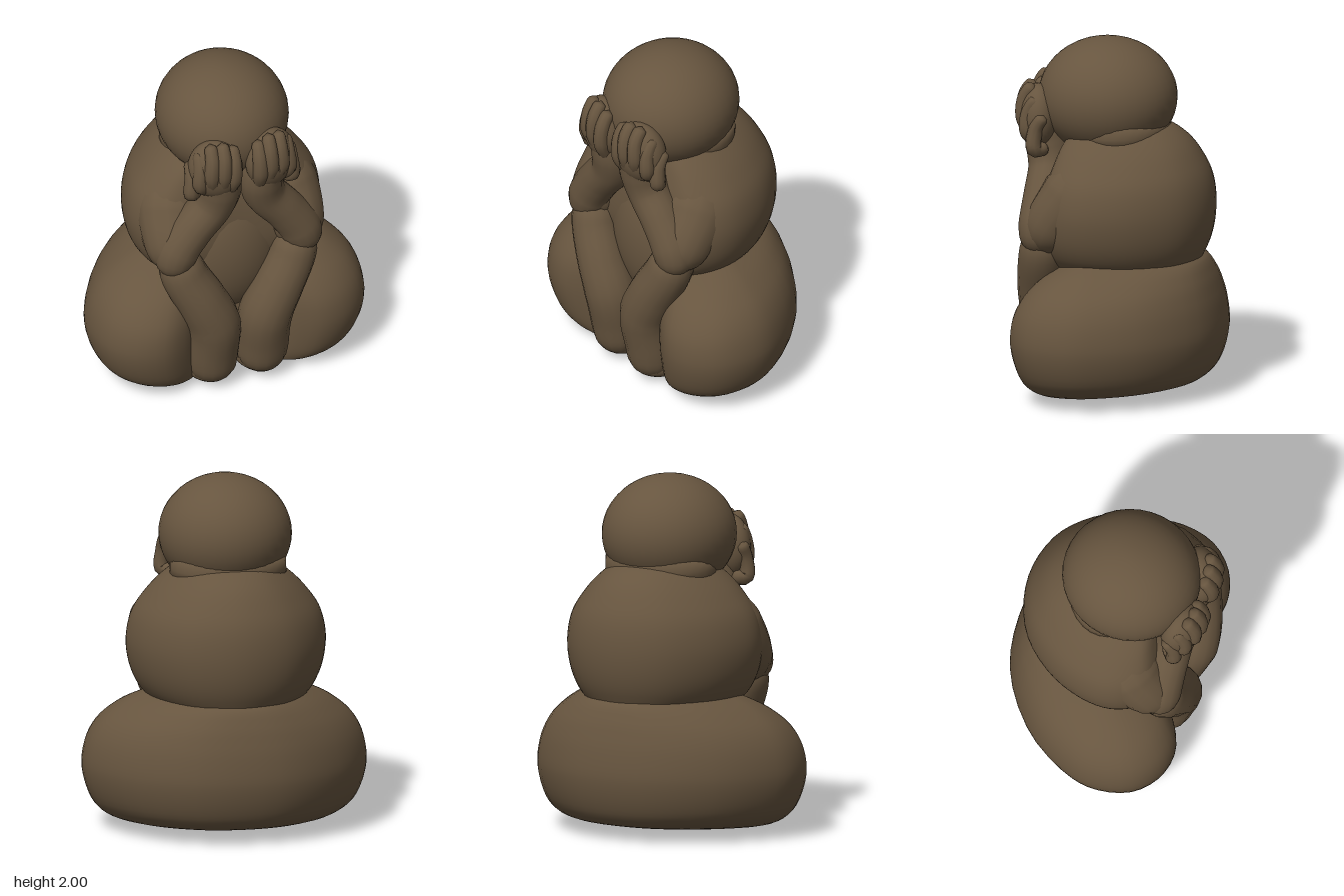
import * as THREE from 'three';
import { mergeVertices } from 'three/addons/utils/BufferGeometryUtils.js';

const clay = new THREE.MeshStandardMaterial({ color: 0x67553f });
clay.name = 'brown clay';

// Weld seams and give smooth normals
function smooth(geo) {
  geo.deleteAttribute('uv');
  geo.deleteAttribute('normal');
  const g = mergeVertices(geo, 1e-4);
  g.computeVertexNormals();
  return g;
}

function part(name, geo, parent) {
  const m = new THREE.Mesh(smooth(geo), clay);
  m.name = name;
  parent.add(m);
}

// Mirrored plan outline stacked along y; levels are [y, width, back, front] scales.
// tilt lowers the front of the underside and raises its back.
function loft(half, levels, tilt = 0, rings = 40, seg = 64) {
  const plan = half.concat(half.slice(1, -1).reverse().map(([x, z]) => [-x, z]));
  const outline = new THREE.CatmullRomCurve3(
    plan.map(([x, z]) => new THREE.Vector3(x, 0, z)), true).getPoints(seg);
  const size = new THREE.CatmullRomCurve3(
    levels.map(([y, w, , f]) => new THREE.Vector3(w, y, f)));
  const back = new THREE.CatmullRomCurve3(
    levels.map(([y, , b]) => new THREE.Vector3(b, y, 0)));
  const pos = [], idx = [];
  for (let i = 0; i <= rings; i++) {
    const s = size.getPoint(i / rings), b = back.getPoint(i / rings).x;
    const lean = tilt * Math.max(0, 1 - s.y / 0.4);
    for (const p of outline) {
      const z = p.z * (p.z < 0 ? b : s.z);
      pos.push(p.x * s.x, s.y - lean * z, z);
    }
  }
  const n = seg + 1;
  for (let i = 0; i < rings; i++) for (let j = 0; j < seg; j++) {
    const a = i * n + j, b = a + n;
    idx.push(a, b, a + 1, b, b + 1, a + 1);
  }
  const g = new THREE.BufferGeometry();
  g.setAttribute('position', new THREE.Float32BufferAttribute(pos, 3));
  g.setIndex(idx);
  return g;
}

// Round-ended tube through [x, y, z, radius] points
function limb(pts, rings = 32, sides = 16) {
  const curve = new THREE.CatmullRomCurve3(pts.map(([x, y, z]) => new THREE.Vector3(x, y, z)));
  const g = new THREE.TubeGeometry(curve, rings, 1, sides, false);
  const pos = g.attributes.position, v = new THREE.Vector3(), len = curve.getLength();
  for (let i = 0; i <= rings; i++) {
    const u = i / rings, c = curve.getPointAt(u);
    const t = curve.getUtoTmapping(u) * (pts.length - 1);
    const k = Math.min(Math.floor(t), pts.length - 2);
    const r = THREE.MathUtils.lerp(pts[k][3], pts[k + 1][3], t - k);
    const d = Math.min(1, Math.min(u, 1 - u) * len / r);
    const round = Math.sqrt(Math.max(0, 1 - (1 - d) ** 2));
    for (let j = 0; j <= sides; j++) {
      const q = i * (sides + 1) + j;
      v.fromBufferAttribute(pos, q).sub(c).multiplyScalar(r * round).add(c);
      pos.setXYZ(q, v.x, v.y, v.z);
    }
  }
  return g;
}

function ellipsoid([x, y, z], [rx, ry, rz], turn = 0) {
  return new THREE.SphereGeometry(1, 36, 24).scale(rx, ry, rz).rotateY(turn).translate(x, y, z);
}

export function createModel() {
  const model = new THREE.Group();
  model.name = 'crouchingFigure';

  // Broad hips with thighs spreading forward
  part('hipsAndThighs', loft(
    [[0, -0.58], [0.3, -0.53], [0.6, -0.32], [0.77, -0.04], [0.8, 0.13], [0.75, 0.33],
      [0.62, 0.455], [0.46, 0.49], [0.32, 0.43], [0.2, 0.32], [0, 0.28]],
    [[0.05, 0, 0, 0], [0.05, 0.6, 0.66, 0.65], [0.085, 0.82, 0.84, 0.81], [0.17, 0.935, 0.935, 0.92],
      [0.34, 1, 1, 1], [0.48, 0.98, 0.985, 0.98], [0.6, 0.91, 0.94, 0.87], [0.7, 0.78, 0.88, 0.68],
      [0.77, 0.63, 0.81, 0.45], [0.82, 0.45, 0.6, 0.28], [0.83, 0, 0, 0]], 0.055), model);

  // Rounded back and shoulders
  part('torso', loft(
    [[0, -0.525], [0.28, -0.445], [0.48, -0.22], [0.56, 0.04], [0.535, 0.2],
      [0.44, 0.32], [0.22, 0.35], [0, 0.35]],
    [[0.68, 0, 0, 0], [0.7, 0.6, 0.75, 0.75], [0.79, 0.84, 0.88, 0.92], [0.92, 0.96, 0.97, 1],
      [1.07, 1, 1, 1], [1.22, 0.95, 0.965, 0.96], [1.35, 0.8, 0.855, 0.87],
      [1.45, 0.62, 0.71, 0.76], [1.52, 0.42, 0.49, 0.55], [1.54, 0, 0, 0]]), model);

  part('belly', ellipsoid([0, 0.84, 0.12], [0.34, 0.48, 0.27]), model);
  part('neck', new THREE.CylinderGeometry(0.325, 0.33, 0.13, 32, 2)
    .scale(1, 1, 0.82).translate(0, 1.49, 0.0), model);
  part('head', ellipsoid([0, 1.665, 0.085], [0.372, 0.335, 0.39]), model);

  for (const [side, s] of [['left', 1], ['right', -1]]) {
    const group = new THREE.Group();
    group.name = side + 'Limbs';
    model.add(group);
    const add = (name, pts, rings, sides) =>
      part(name, limb(pts.map(([x, y, z, r]) => [x * s, y, z, r]), rings, sides), group);

    // Arm: shoulder to elbow on the knee, then up to the face
    add('upperArm', [[0.26, 1.32, 0.06, 0.18], [0.335, 1.14, 0.18, 0.195],
      [0.36, 0.99, 0.29, 0.165], [0.35, 0.83, 0.35, 0.13]]);
    add('forearm', [[0.39, 0.82, 0.37, 0.1], [0.36, 0.98, 0.365, 0.125], [0.265, 1.13, 0.37, 0.12],
      [0.155, 1.27, 0.375, 0.122], [0.122, 1.4, 0.4, 0.125], [0.15, 1.58, 0.44, 0.11]]);

    // Hand covering the eye, turned around the curve of the face
    part('palm', ellipsoid([0.162 * s, 1.56, 0.44], [0.155, 0.185, 0.11], 0.35 * s), group);
    const fingers = [[0.075, 1.725, 0.5], [0.135, 1.76, 0.505], [0.2, 1.755, 0.49],
      [0.255, 1.69, 0.45], [0.29, 1.6, 0.4]];
    fingers.forEach(([x, y, z], i) => add('finger' + (i + 1), [
      [0.09 + i * 0.036, 1.4, z - 0.04, 0.036], [x + 0.004, y - 0.2, z + 0.022, 0.046],
      [x, y - 0.09, z + 0.018, 0.043], [x, y, z - 0.03, 0.036]], 20, 10));

    // Shin from the knee down to the foot on the centre line
    add('shin', [[0.35, 0.97, 0.34, 0.12], [0.325, 0.82, 0.365, 0.132], [0.225, 0.62, 0.395, 0.142],
      [0.155, 0.45, 0.39, 0.152], [0.148, 0.22, 0.345, 0.15], [0.145, 0.02, 0.32, 0.135]]);
    part('foot', ellipsoid([0.15 * s, 0.105, 0.22], [0.155, 0.105, 0.235]), group);
  }
  return model;
}
